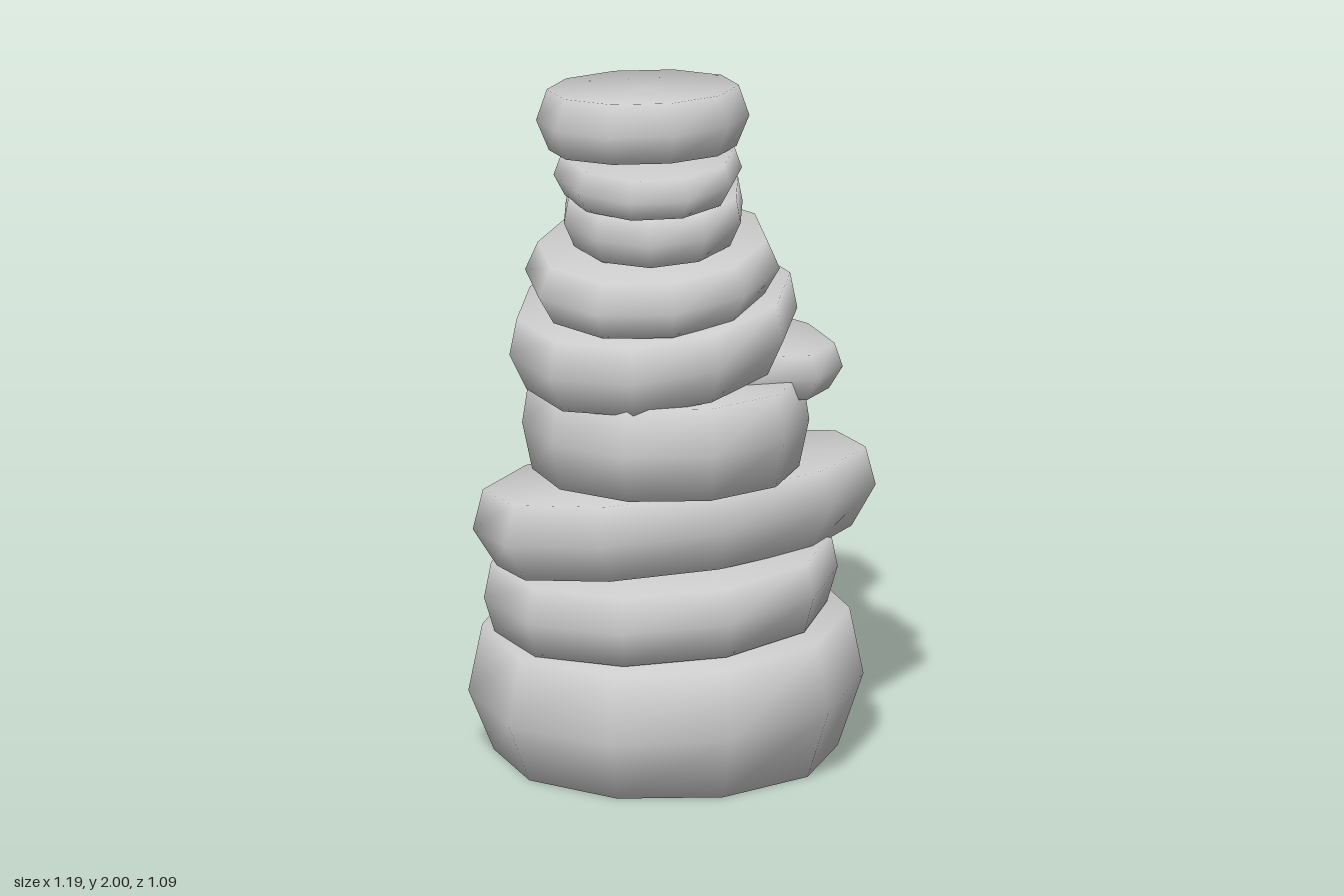
import * as THREE from 'three';

const SIDES = 10;

// Ten-sided plan, lengthened along x, then spun, scaled to fill -1..1 both ways
function stonePlan(spin, stretch) {
  const points = Array.from({ length: SIDES }, (_, i) => {
    const a = (i / SIDES) * Math.PI * 2;
    const x = Math.sin(a) * stretch, z = Math.cos(a);
    return [x * Math.cos(spin) + z * Math.sin(spin), z * Math.cos(spin) - x * Math.sin(spin)];
  });
  const reach = (k) => Math.max(...points.map((p) => p[k]));
  const rx = reach(0), rz = reach(1);
  return points.map(([x, z]) => [x / rx, z / rz]);
}

// A stone: bottom, middle and top rings joined by walls and closed by caps
function stoneGeometry([x0, x1, z0, z1, y0, y1, riseX, riseZ, bottomScale, topScale, spin, stretch]) {
  const plan = stonePlan(spin, stretch);
  const cx = (x0 + x1) / 2, cz = (z0 + z1) / 2;
  const pos = [], index = [];
  const rings = [[y0, bottomScale], [(y0 + y1) / 2, 1], [y1, topScale]];
  for (const [y, s] of rings) {
    for (const [u, v] of plan) {
      // The lowest ring rests flat on the ground
      const h = Math.max(0, y + riseX * u + riseZ * v);
      pos.push(cx + (u * s * (x1 - x0)) / 2, y === 0 ? 0 : h, cz + (v * s * (z1 - z0)) / 2);
    }
  }
  pos.push(cx, y0, cz, cx, y1, cz);
  const last = SIDES * 2, bottom = SIDES * 3;
  for (let i = 0; i < SIDES; i++) {
    const j = (i + 1) % SIDES;
    for (let r = 0; r < last; r += SIDES) {
      index.push(r + i, r + j, r + SIDES + j, r + i, r + SIDES + j, r + SIDES + i);
    }
    index.push(j, i, bottom, last + i, last + j, bottom + 1);
  }
  const g = new THREE.BufferGeometry();
  g.setAttribute('position', new THREE.Float32BufferAttribute(pos, 3));
  g.setIndex(index);
  g.computeVertexNormals();
  return g;
}

// From the ground up: x range, z range, y range, rise towards +x and +z,
// bottom and top scale, spin, stretch
const stones = {
  baseStone: [-0.56, 0.5, -0.545, 0.545, 0, 0.39, 0.02, -0.005, 0.87, 0.93, 0, 1],
  secondStone: [-0.54, 0.45, -0.44, 0.44, 0.39, 0.595, 0.02, 0, 0.94, 0.96, 0.1, 1],
  longSlab: [-0.6, 0.59, -0.31, 0.31, 0.595, 0.825, 0.005, 0.01, 0.88, 0.95, 0.13, 1.95],
  fourthStone: [-0.42, 0.35, -0.385, 0.41, 0.835, 1.11, -0.005, 0.015, 0.93, 0.95, 0, 1],
  ledgeStone: [-0.2, 0.46, -0.46, 0.22, 1.06, 1.195, -0.02, 0, 0.9, 0.94, -0.8, 1.6],
  sixthStone: [-0.49, 0.33, -0.33, 0.4, 1.145, 1.355, 0.045, -0.02, 0.88, 0.95, 0.16, 1],
  seventhStone: [-0.45, 0.27, -0.28, 0.39, 1.36, 1.525, 0.025, -0.023, 0.87, 0.9, -0.15, 1],
  eighthStone: [-0.33, 0.18, -0.27, 0.31, 1.525, 1.67, 0.015, -0.003, 0.88, 0.95, 0.2, 1],
  ninthStone: [-0.34, 0.15, -0.3, 0.36, 1.665, 1.785, 0.012, 0.01, 0.88, 0.92, 0, 1],
  topStone: [-0.4, 0.18, -0.23, 0.29, 1.795, 1.975, -0.008, 0.025, 0.88, 0.9, 0, 1],
};

export function createModel() {
  const group = new THREE.Group();
  group.name = 'stoneStack';
  const material = new THREE.MeshStandardMaterial({ color: 0xcccccc });
  for (const [name, size] of Object.entries(stones)) {
    const mesh = new THREE.Mesh(stoneGeometry(size), material);
    mesh.name = name;
    group.add(mesh);
  }
  return group;
}
